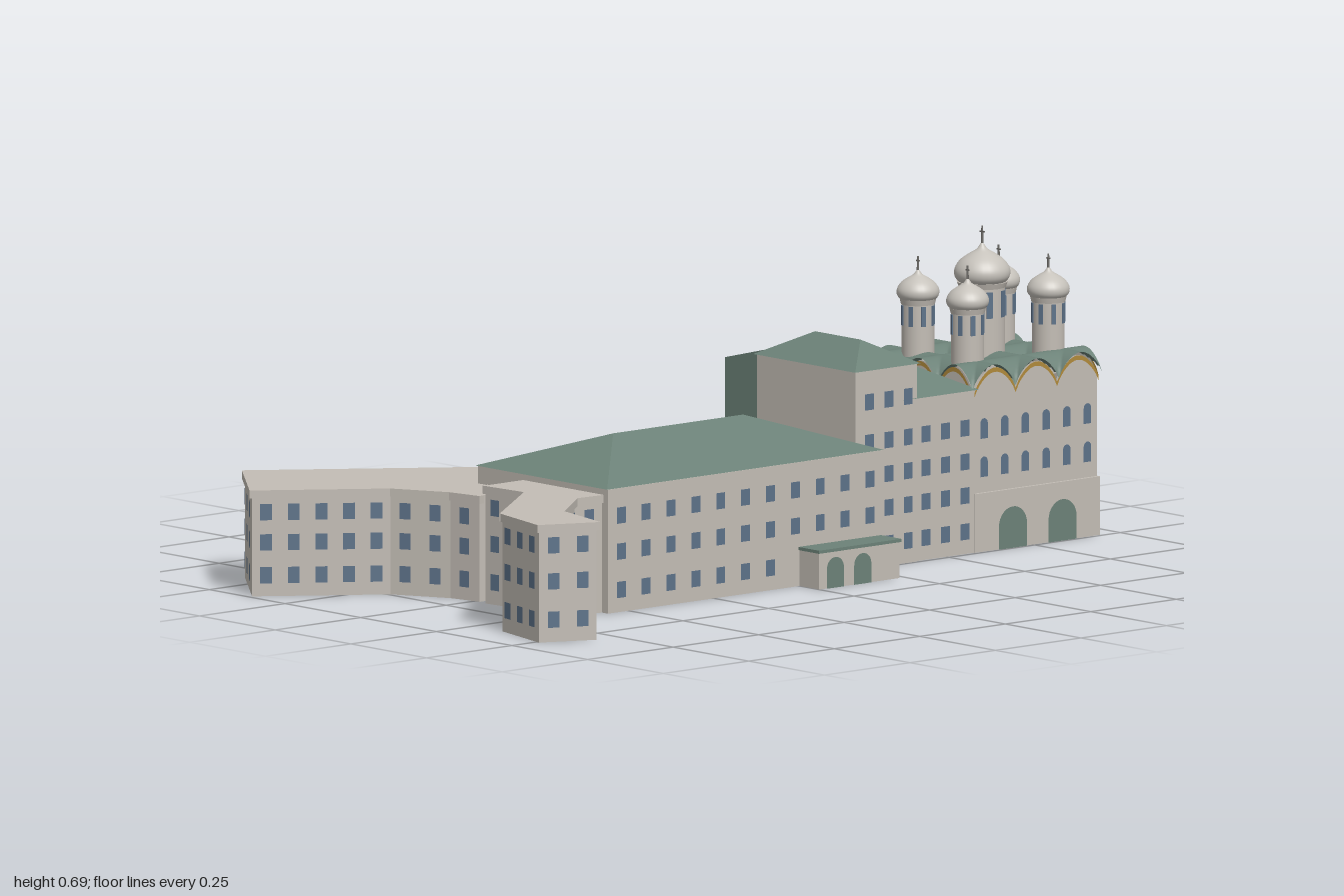
import * as THREE from 'three';

const mat = (name, color) => {
  const m = new THREE.MeshStandardMaterial({ color, side: THREE.DoubleSide });
  m.name = name;
  return m;
};

export function createModel() {
  const root = new THREE.Group();
  root.name = 'monasteryComplex';
  const stone = mat('stone', 0xc3bdb5), green = mat('greenRoof', 0x6c8278), glass = mat('windowBlue', 0x5d7289),
    gold = mat('goldTrim', 0xb08a3c), dome = mat('domeGrey', 0xc6c2bb), metal = mat('spireMetal', 0x6e6c68);

  const add = (parent, name, geo, m, x = 0, y = 0, z = 0) => {
    const mesh = new THREE.Mesh(geo, m);
    mesh.name = name;
    mesh.position.set(x, y, z);
    parent.add(mesh);
    return mesh;
  };
  const block = (name, x0, x1, y0, y1, z0, z1, m = stone, parent = root) =>
    add(parent, name, new THREE.BoxGeometry(x1 - x0, y1 - y0, z1 - z0), m, (x0 + x1) / 2, (y0 + y1) / 2, (z0 + z1) / 2);
  const shape = pts => new THREE.Shape(pts.map(p => new THREE.Vector2(p[0], p[1])));

  // Round-headed opening, standing on its origin
  const archGeo = (w, h) => {
    const s = new THREE.Shape();
    s.moveTo(-w / 2, 0);
    s.lineTo(w / 2, 0);
    s.lineTo(w / 2, h - w / 2);
    s.absarc(0, h - w / 2, w / 2, 0, Math.PI);
    s.lineTo(-w / 2, 0);
    return new THREE.ShapeGeometry(s, 8);
  };
  const paneGeo = new THREE.PlaneGeometry(0.026, 0.036);
  const archedPane = archGeo(0.022, 0.045);

  // Wall frame: local x runs from a to b, local z points outward
  const frame = (name, a, b) => {
    const g = new THREE.Group();
    g.name = name;
    g.position.set(a[0], 0, a[1]);
    g.rotation.y = Math.atan2(a[1] - b[1], b[0] - a[0]);
    g.userData.len = Math.hypot(b[0] - a[0], b[1] - a[1]);
    root.add(g);
    return g;
  };
  const windows = (g, count, rows, { from = 0, to = g.userData.len, geo = paneGeo, skip = () => false } = {}) => {
    for (const y of rows) for (let i = 0; i < count; i++) {
      const x = from + (to - from) * (i + 0.5) / count;
      if (!skip(x, y)) add(g, 'window', geo, glass, x, y, 0.003);
    }
  };
  const floors = [0.05, 0.135, 0.215];

  // Faceted surface from polygons
  const facets = (name, polys, m) => {
    const v = [];
    for (const p of polys) for (let i = 1; i < p.length - 1; i++) v.push(...p[0], ...p[i], ...p[i + 1]);
    const geo = new THREE.BufferGeometry();
    geo.setAttribute('position', new THREE.Float32BufferAttribute(v, 3));
    geo.computeVertexNormals();
    return add(root, name, geo, m);
  };
  const hipRoof = (name, x0, x1, z0, z1, y, r0, r1) => {
    const A = [x0, y, z1], B = [x1, y, z1], C = [x1, y, z0], D = [x0, y, z0];
    facets(name, r0[2] === r1[2]
      ? [[A, B, r1, r0], [B, C, r1], [C, D, r0, r1], [D, A, r0]]
      : [[A, B, r1], [B, C, r0, r1], [C, D, r0], [D, A, r1, r0]], green);
  };
  // Solid with a (z, y) profile drawn out along x
  const profileBlock = (name, x0, x1, pts, m) => {
    const geo = new THREE.ExtrudeGeometry(shape(pts), { depth: x1 - x0, bevelEnabled: false });
    add(root, name, geo, m, x1).rotation.y = -Math.PI / 2;
  };

  // Main range
  block('mainRange', -0.56, 0.24, 0, 0.275, -0.11, 0.32);
  hipRoof('mainRoof', -0.565, 0.243, -0.113, 0.323, 0.276, [-0.35, 0.35, 0.1], [0.03, 0.35, 0.1]);
  windows(frame('mainFront', [-0.56, 0.32], [0.24, 0.32]), 11, floors, { skip: (x, y) => y < 0.1 && x > 0.54 });
  windows(frame('mainBack', [0.24, -0.11], [-0.37, -0.11]), 9, floors,
    { skip: (x, y) => y < 0.14 && (Math.abs(x - 0.155) < 0.04 || Math.abs(x - 0.43) < 0.04) });

  // Front porch and rear vestibules
  block('frontPorch', 0, 0.235, 0, 0.08, 0.32, 0.385);
  block('frontPorchRoof', -0.003, 0.238, 0.08, 0.087, 0.32, 0.388, green);
  for (const x of [0.045, 0.125]) add(root, 'porchArch', archGeo(0.05, 0.068), green, x, 0, 0.388);
  for (const [x0, x1, z, h] of [[-0.22, -0.165, -0.165, 0.13], [0.055, 0.115, -0.13, 0.13], [0.265, 0.335, -0.25, 0.14]]) {
    block('rearVestibule', x0, x1, 0, h, z, z + 0.05);
    block('vestibuleRoof', x0, x1, h, h + 0.006, z, z + 0.05, green);
  }

  // Stair tower, second range and green stair block
  block('tower', 0.23, 0.41, 0, 0.44, -0.08, 0.245);
  hipRoof('towerRoof', 0.224, 0.416, -0.086, 0.251, 0.44, [0.32, 0.492, 0.01], [0.32, 0.492, 0.16]);
  windows(frame('towerFront', [0.24, 0.245], [0.41, 0.245]), 3, [0.05, 0.13, 0.205, 0.28, 0.37]);
  block('secondRange', 0.375, 0.585, 0, 0.362, -0.22, 0.24);
  hipRoof('secondRoof', 0.37, 0.59, -0.225, 0.247, 0.362, [0.478, 0.42, -0.11], [0.478, 0.42, 0.13]);
  windows(frame('secondFront', [0.41, 0.24], [0.58, 0.24]), 3, [0.05, 0.13, 0.205, 0.28]);
  windows(frame('secondBack', [0.585, -0.22], [0.375, -0.22]), 4, [0.05, 0.13, 0.205, 0.28]);
  profileBlock('greenStairBlock', 0.262, 0.375, [[-0.222, 0], [-0.07, 0], [-0.07, 0.45], [-0.222, 0.412]], green);

  // Wings: flat-topped polygons with windowed walls
  const wing = (name, pts, h, rows, cols) => {
    pts.forEach((a, i) => {
      const g = frame(name + 'Wall', a, pts[(i + 1) % pts.length]), L = g.userData.len;
      add(g, 'wallPanel', new THREE.PlaneGeometry(L, h), stone, L / 2, h / 2);
      if (!cols[i]) return;
      block('cornice', -0.004, L + 0.004, h - 0.018, h, -0.01, 0.006, stone, g);
      windows(g, cols[i], rows);
    });
    const top = new THREE.ShapeGeometry(shape(pts.map(p => [p[0], -p[1]])));
    add(root, name + 'Roof', top, stone, 0, h).rotation.x = -Math.PI / 2;
  };
  wing('frontWing', [[-0.66, 0.165], [-0.89, 0.345], [-0.93, 0.51], [-0.81, 0.565], [-0.775, 0.41],
    [-0.635, 0.295], [-0.56, 0.3], [-0.56, 0.04], [-0.67, 0.04]], 0.262, floors, [4, 3, 2, 2, 3, 1, 0, 0, 2]);
  wing('rearWing', [[-0.56, -0.11], [-0.375, -0.11], [-0.37, -0.235], [-0.83, -0.575], [-0.99, -0.37],
    [-0.745, -0.19], [-0.68, -0.065], [-0.665, 0.015], [-0.56, 0.02]], 0.236, [0.047, 0.12, 0.187],
  [0, 2, 8, 3, 5, 2, 1, 0, 0]);

  // Church walls with three scalloped gables on each side
  const X0 = 0.582, X1 = 0.945, Z0 = -0.1, Z1 = 0.235, BASE = 0.353, RISE = 0.052;
  const arch = u => Math.pow(Math.abs(Math.sin(Math.PI * 3 * u)), 0.75);
  const corners = [[X0, Z1], [X1, Z1], [X1, Z0], [X0, Z0]];
  const sides = ['churchFront', 'churchEast', 'churchBack', 'churchWest'].map((name, i) => {
    const g = frame(name, corners[i], corners[(i + 1) % 4]), L = g.userData.len, top = [];
    for (let k = 0; k <= 48; k++) top.push([L * k / 48, BASE + RISE * arch(k / 48)]);
    add(g, 'scallopedWall', new THREE.ShapeGeometry(shape([[0, 0], [L, 0], ...[...top].reverse()])), stone);
    const low = top.map(([x, y]) => [x, y - 0.01]);
    add(g, 'goldGableTrim', new THREE.ShapeGeometry(shape([...low, ...[...top].reverse()])), gold, 0, 0, 0.005);
    return g;
  });
  windows(sides[0], 6, [0.165, 0.25], { geo: archedPane });
  windows(sides[1], 1, [0.25], { from: 0.13, to: 0.2, geo: archedPane });
  windows(sides[2], 3, [0.285], { geo: archedPane });
  block('churchPlinth', X0, X1 + 0.002, 0, 0.13, Z1 - 0.01, Z1 + 0.008);
  for (const x of [0.69, 0.835]) add(root, 'gateArch', archGeo(0.082, 0.092), green, x, 0, Z1 + 0.011);

  // Cross-vaulted church roof
  const roof = new THREE.PlaneGeometry(X1 - X0 + 0.016, Z1 - Z0 + 0.016, 48, 48).rotateX(-Math.PI / 2);
  const uv = roof.attributes.uv, rp = roof.attributes.position;
  for (let i = 0; i < rp.count; i++) rp.setY(i, BASE + 0.007 + RISE * Math.max(arch(uv.getX(i)), arch(uv.getY(i))));
  roof.computeVertexNormals();
  add(root, 'vaultedRoof', roof, green, (X0 + X1) / 2, 0, (Z0 + Z1) / 2);

  // Rear annex with lean-to roof
  profileBlock('rearAnnex', 0.582, 0.86, [[-0.155, 0], [-0.1, 0], [-0.1, 0.265], [-0.155, 0.228]], stone);
  profileBlock('rearAnnexRoof', 0.58, 0.863, [[-0.162, 0.226], [-0.1, 0.267], [-0.1, 0.274], [-0.162, 0.233]], green);
  windows(frame('annexBack', [0.86, -0.155], [0.585, -0.155]), 4, [0.135], { geo: archedPane });

  // Apse on its footing
  block('apseFooting', 0.94, 0.988, 0, 0.13, -0.068, 0.026);
  add(root, 'apse', new THREE.CylinderGeometry(0.047, 0.047, 0.165, 24), stone, 0.946, 0.2125, -0.021);
  const cap = new THREE.SphereGeometry(0.053, 24, 8, 0, Math.PI * 2, 0, Math.PI / 2);
  add(root, 'apseDome', cap, green, 0.946, 0.292, -0.021).scale.y = 0.9;
  add(root, 'apseWindow', archGeo(0.02, 0.04), glass, 0.996, 0.195, -0.021).rotation.y = Math.PI / 2;

  // Domed drums
  const cupola = (x, z, r, top, s) => {
    const g = new THREE.Group();
    g.name = 'cupola';
    g.position.set(x, 0, z);
    root.add(g);
    add(g, 'drum', new THREE.CylinderGeometry(r, r, top - 0.36, 24), stone, 0, (top + 0.36) / 2, 0);
    add(g, 'drumCornice', new THREE.CylinderGeometry(r * 1.12, r * 1.04, 0.012, 24), stone, 0, top - 0.004, 0);
    const pts = [[0.05, 0], [0.059, 0.01], [0.062, 0.022], [0.059, 0.035], [0.048, 0.05], [0.03, 0.063],
      [0.013, 0.073], [0.004, 0.085], [0, 0.088]].map(p => new THREE.Vector2(p[0] * s, p[1] * s));
    add(g, 'onionDome', new THREE.LatheGeometry(new THREE.SplineCurve(pts).getPoints(24), 28), dome, 0, top, 0);
    add(g, 'spire', new THREE.CylinderGeometry(0.002, 0.003, 0.05 * s, 8), metal, 0, top + 0.1 * s, 0);
    add(g, 'spireBar', new THREE.BoxGeometry(0.003, 0.003, 0.014 * s), metal, 0, top + 0.112 * s, 0);
    const slit = new THREE.BoxGeometry(r * 0.28, 0.058 * s, 0.008);
    for (let i = 0; i < 8; i++) {
      const a = (i + 0.5) * Math.PI / 4;
      add(g, 'drumWindow', slit, glass, Math.sin(a) * (r - 0.002), top - 0.045 * s, Math.cos(a) * (r - 0.002)).rotation.y = a;
    }
  };
  cupola(0.76, 0.065, 0.05, 0.56, 1);
  for (const x of [0.642, 0.878]) for (const z of [-0.014, 0.15]) cupola(x, z, 0.036, 0.525, 0.76);

  return root;
}
